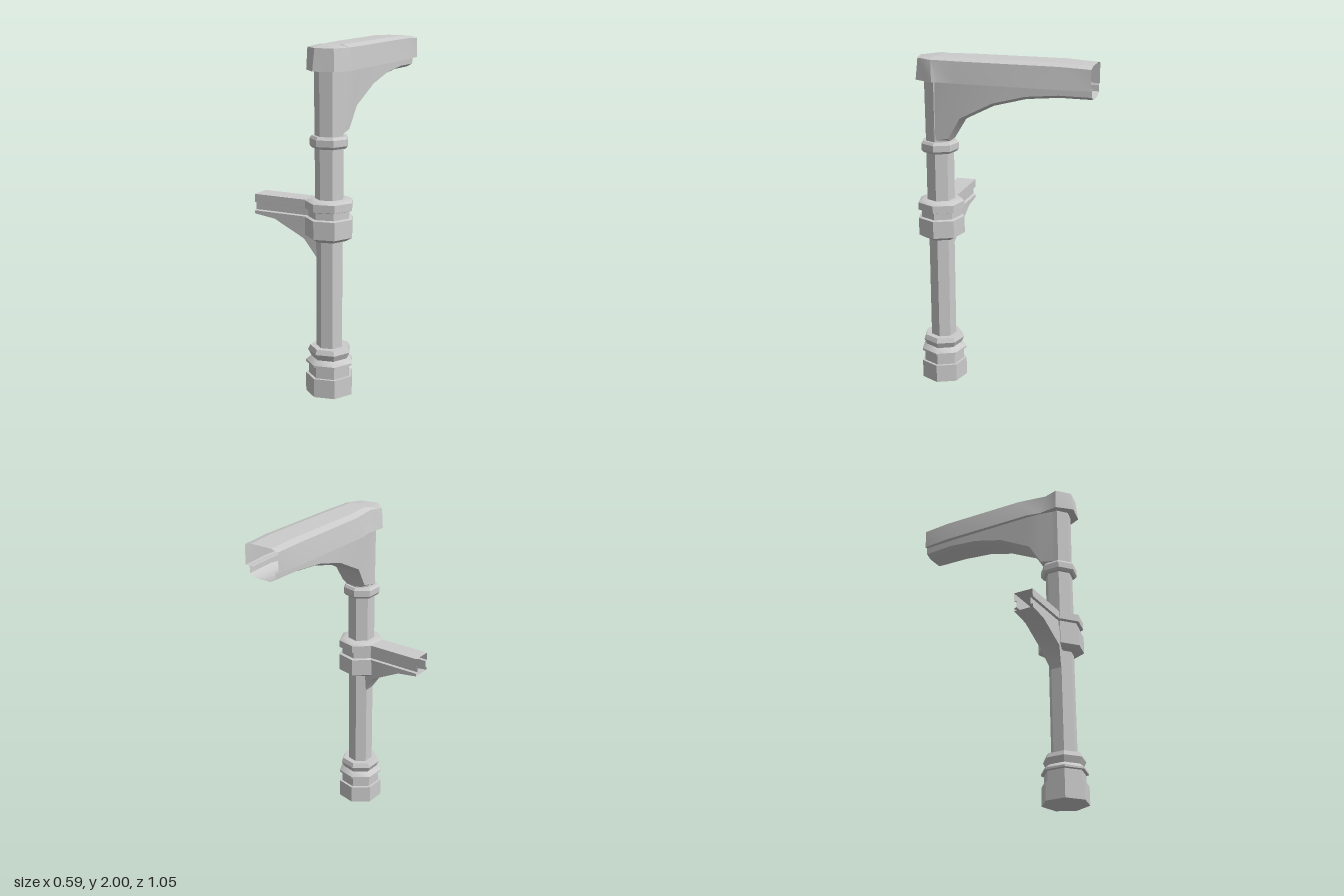
import * as THREE from 'three';
import { toCreasedNormals } from 'three/addons/utils/BufferGeometryUtils.js';

const CX = 0.156, CZ = 0.391; // post axis
const lerp = THREE.MathUtils.lerp;
const material = new THREE.MeshStandardMaterial({ color: 0xcccccc, side: THREE.DoubleSide });

function addMesh(group, name, geometry) {
  const mesh = new THREE.Mesh(toCreasedNormals(geometry, 0.6), material);
  mesh.name = name;
  group.add(mesh);
}

// Seven-sided turned part on the post axis; profile is [radius, y] from bottom to top
function turned(group, name, profile) {
  const points = profile.map(([r, y]) => new THREE.Vector2(r, y));
  const geometry = new THREE.LatheGeometry(points, 7, -0.232);
  geometry.translate(CX, 0, CZ);
  addMesh(group, name, geometry);
}

// Skin between equally long rows of [x, y, z] points
function skin(rows) {
  const n = rows[0].length, index = [];
  for (let i = 0; i < rows.length - 1; i++) {
    for (let j = 0; j < n - 1; j++) {
      const a = i * n + j, b = a + 1, c = a + n, d = c + 1;
      index.push(a, b, c, b, d, c);
    }
  }
  const geometry = new THREE.BufferGeometry();
  geometry.setAttribute('position', new THREE.Float32BufferAttribute(rows.flat(2), 3));
  geometry.setIndex(index);
  return geometry;
}

export function createModel() {
  const model = new THREE.Group();
  model.name = 'bracketPost';

  // Post: base, shafts, hub and collar
  turned(model, 'base', [
    [0, 0], [0.139, 0], [0.139, 0.11], [0.122, 0.11], [0.122, 0.175],
    [0.139, 0.178], [0.139, 0.19], [0.108, 0.215], [0.126, 0.252], [0.114, 0.28], [0.07, 0.28],
  ]);
  turned(model, 'lowerShaft', [[0.077, 0.27], [0.077, 0.92]]);
  turned(model, 'hub', [
    [0.07, 0.91], [0.1, 0.91], [0.139, 0.933], [0.139, 1.037], [0.12, 1.042],
    [0.12, 1.082], [0.139, 1.088], [0.139, 1.132], [0.11, 1.147], [0.07, 1.147],
  ]);
  turned(model, 'upperShaft', [[0.083, 1.14], [0.083, 1.45]]);
  turned(model, 'collar', [
    [0.08, 1.435], [0.1, 1.435], [0.112, 1.45], [0.112, 1.487], [0.1, 1.502], [0.07, 1.502],
  ]);
  turned(model, 'topShaft', [[0.083, 1.49], [0.086, 1.87]]);

  // Curved bracket under the beam: z, underside y, half widths at top, low edge and bottom
  const bracket = [
    [-0.525, 1.8, 0.092, 0.09, 0.052],
    [-0.34, 1.803, 0.1, 0.099, 0.06],
    [-0.15, 1.785, 0.1, 0.099, 0.06],
    [0.04, 1.735, 0.1, 0.098, 0.06],
    [0.235, 1.635, 0.1, 0.09, 0.05],
    [0.31, 1.51, 0.095, 0.08, 0.045],
    [0.4, 1.49, 0.08, 0.08, 0.045],
  ].map(([z, y, top, low, bottom]) => [
    [-top, 1.865], [-low, y + 0.02], [-bottom, y], [bottom, y], [low, y + 0.02], [top, 1.865],
  ].map(([x, py]) => [CX + x, py, z]));
  addMesh(model, 'beamBracket', skin(bracket));

  // Beam cap: outlines run from the left rear, round the front, to the right rear
  const lower = [
    [0.045, -0.525], [0.03, -0.35], [0.034, 0.24], [0.052, 0.32], [0.038, 0.44], [0.12, 0.523],
    [0.24, 0.497], [0.293, 0.385], [0.284, 0.35], [0.288, 0.24], [0.293, -0.35], [0.276, -0.525],
  ];
  const upper = [
    [0.045, -0.525], [0.04, -0.35], [0.045, 0.18], [0.073, 0.355], [0.046, 0.44], [0.126, 0.507],
    [0.231, 0.486], [0.278, 0.39], [0.274, 0.36], [0.281, 0.24], [0.282, -0.35], [0.276, -0.525],
  ];
  const ledge = lower.map(([x, z]) => [lerp(x, CX, 0.42), 1.862, z > 0.3 ? lerp(z, CZ, 0.42) : z]);
  const rim = lower.map(([x, z]) => [x, 1.862, z]);
  const edge = upper.map(([x, z]) => [x, z < -0.5 ? 1.978 : 1.986, z]);
  const crest = upper.map(([x, z]) => [lerp(x, 0.16, 0.4), z < -0.5 ? 1.99 : 2, Math.min(z, 0.38)]);
  addMesh(model, 'beamCap', skin([ledge, rim, edge, crest]));
  addMesh(model, 'beamLid', skin([crest.slice(0, 6), crest.slice(6).reverse()]));

  // Side arm with a groove on each side: x, underside y, half width of the underside
  const h = 0.06, g = 0.046;
  const arm = [
    [-0.3, 1.02, h], [-0.17, 1.003, h], [0.02, 0.91, h], [0.088, 0.8, 0.034],
  ].map(([x, y, b]) => [
    [-h, 1.135], [h, 1.135], [h, 1.087], [g, 1.083], [g, 1.043], [h, 1.038], [b, y],
    [-b, y], [-h, 1.038], [-g, 1.043], [-g, 1.083], [-h, 1.087], [-h, 1.135],
  ].map(([z, py]) => [x, py, 0.387 + z]));
  addMesh(model, 'sideArm', skin(arm));

  return model;
}
